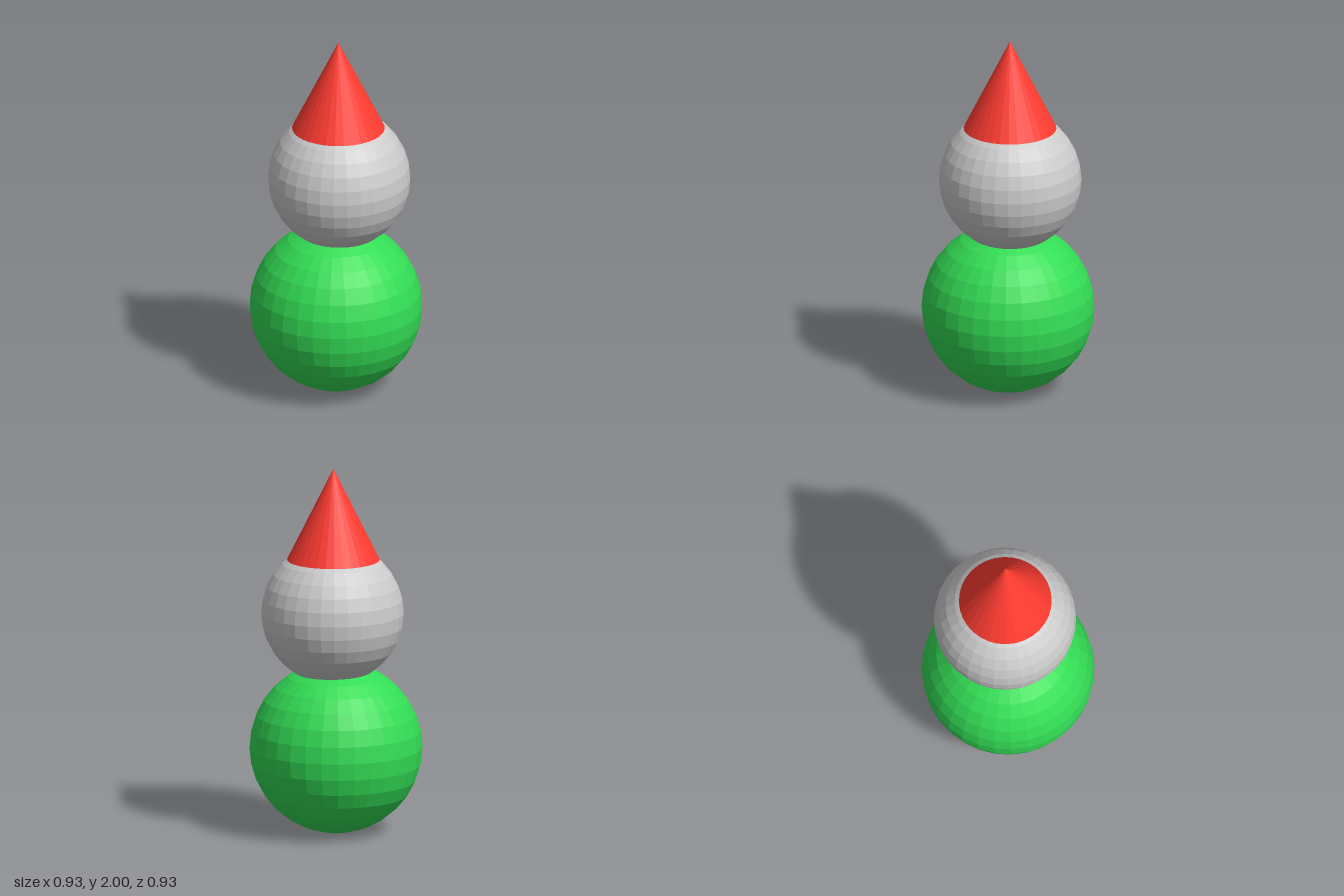
import * as THREE from 'three';

export function createModel() {
  const model = new THREE.Group();

  const addPart = (name, geometry, color, x, y, z) => {
    const material = new THREE.MeshStandardMaterial({ color, flatShading: true });
    const mesh = new THREE.Mesh(geometry, material);
    mesh.name = name;
    mesh.position.set(x, y, z);
    model.add(mesh);
  };

  // Round body standing on the ground
  addPart('body', new THREE.SphereGeometry(0.466, 32, 16), 0x33dd55, 0, 0.466, 0);

  // Head, set slightly off the body's axis
  addPart('head', new THREE.SphereGeometry(0.384, 32, 16), 0xcccccc, 0.016, 1.207, -0.016);

  // Pointed hat
  addPart('hat', new THREE.ConeGeometry(0.25, 0.5, 32), 0xff3b30, 0.012, 1.75, -0.014);

  return model;
}
